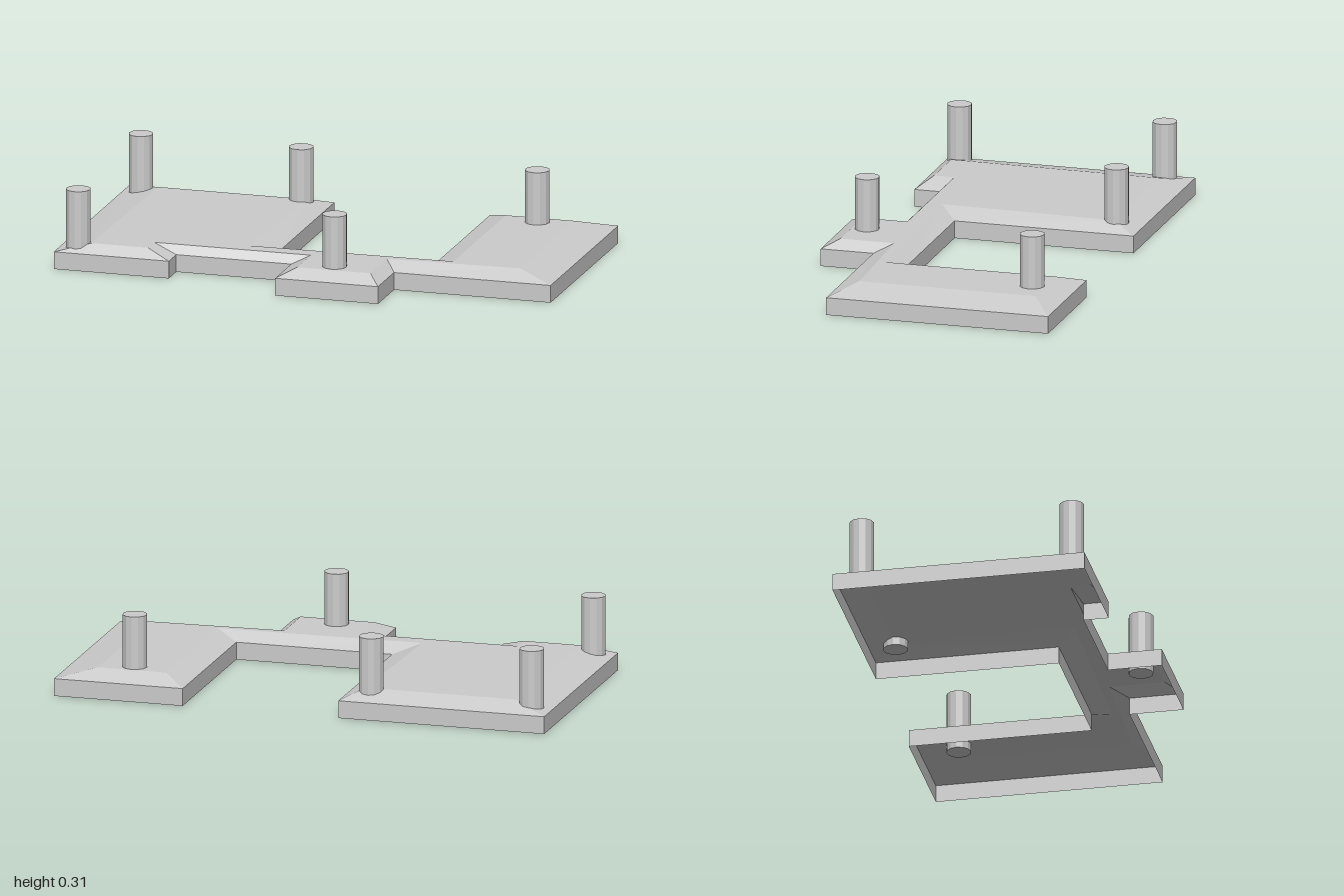
import * as THREE from 'three';

const WALL = 0.07, TOP = 0.103;

// Each row: outer corner x, z, then the matching corner of the raised flat top.
const CORNERS = [
  [-1, -0.56, -0.85, -0.46], [-0.16, -0.56, -0.24, -0.46],
  [-0.16, 0.17, -0.26, 0.25], [0.475, 0.17, 0.57, 0.235],
  [0.475, -0.56, 0.57, -0.465], [1, -0.56, 0.85, -0.465],
  [1, 0.345, 0.85, 0.255], [0.36, 0.345, 0.31, 0.275],
  [0.36, 0.56, 0.31, 0.495], [-0.06, 0.56, 0.01, 0.495],
  [-0.06, 0.345, 0.01, 0.312], [-0.53, 0.345, -0.63, 0.312],
  [-0.53, 0.445, -0.63, 0.395], [-1, 0.445, -0.86, 0.395],
];

const PEGS = [[-0.92, -0.46], [-0.265, -0.46], [0.715, -0.41], [0.145, 0.435], [-0.92, 0.378]];

// Open-bottomed shell: upright walls, sloped rim, flat top.
function shellGeometry() {
  const n = CORNERS.length;
  const rings = [
    CORNERS.map(([x, z]) => [x, 0, z]),
    CORNERS.map(([x, z]) => [x, WALL, z]),
    CORNERS.map(([, , x, z]) => [x, TOP, z]),
  ];
  const index = [];
  for (let r = 0; r < 2; r++) {
    for (let i = 0; i < n; i++) {
      const a = r * n + i, b = r * n + (i + 1) % n;
      index.push(a, a + n, b, b, a + n, b + n);
    }
  }
  const contour = CORNERS.map(([, , x, z]) => new THREE.Vector2(x, z));
  for (const [a, b, c] of THREE.ShapeUtils.triangulateShape(contour, [])) {
    index.push(2 * n + a, 2 * n + c, 2 * n + b);
  }
  const geometry = new THREE.BufferGeometry();
  geometry.setAttribute('position', new THREE.Float32BufferAttribute(rings.flat(2), 3));
  geometry.setIndex(index);
  const flat = geometry.toNonIndexed();
  flat.computeVertexNormals();
  return flat;
}

export function createModel() {
  const model = new THREE.Group();
  model.name = 'pegPlate';

  const shell = new THREE.Mesh(shellGeometry(), new THREE.MeshStandardMaterial({
    color: 0xcccccc, flatShading: true, side: THREE.DoubleSide,
  }));
  shell.name = 'baseShell';
  model.add(shell);

  // Twelve-sided pegs that pass through the shell's top.
  const bottom = 0.07, height = 0.315 - bottom;
  const pegGeometry = new THREE.CylinderGeometry(0.049, 0.049, height, 12);
  const pegMaterial = new THREE.MeshStandardMaterial({ color: 0xcccccc, flatShading: true });
  PEGS.forEach(([x, z], i) => {
    const peg = new THREE.Mesh(pegGeometry, pegMaterial);
    peg.name = `peg${i + 1}`;
    peg.position.set(x, bottom + height / 2, z);
    model.add(peg);
  });
  return model;
}
